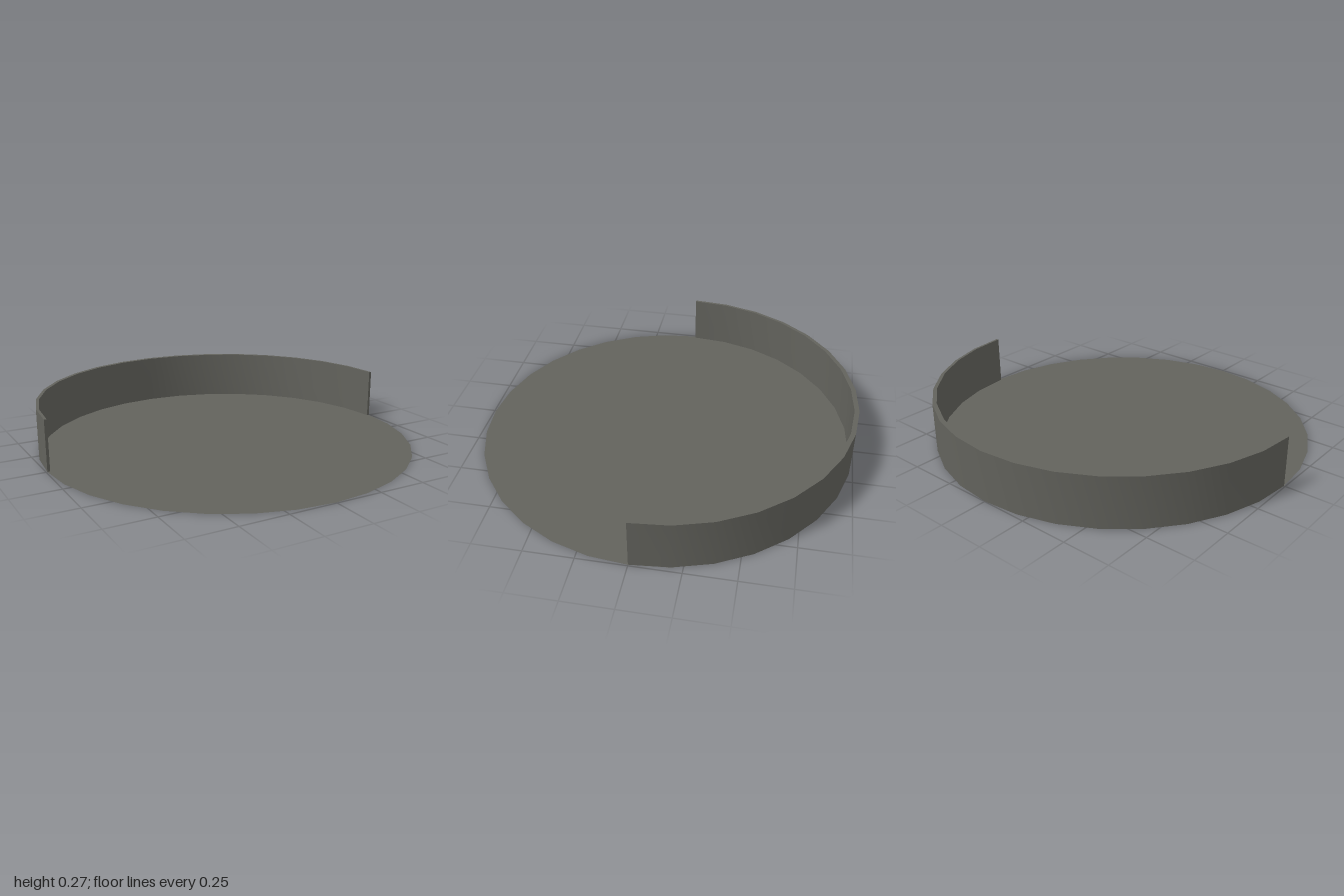
import * as THREE from 'three';
import { toCreasedNormals } from 'three/addons/utils/BufferGeometryUtils.js';

const HEIGHT = 0.265;
const SEGMENTS = 32;

// Half-ellipse of points from +x over the back to -x
function halfRing(rx, rz) {
  const points = [];
  for (let i = 0; i <= SEGMENTS / 2; i++) {
    const a = (i / SEGMENTS) * Math.PI * 2;
    points.push(new THREE.Vector2(Math.cos(a) * rx, Math.sin(a) * rz));
  }
  return points;
}

export function createModel() {
  const group = new THREE.Group();
  group.name = 'trayWithHalfRim';

  const darkGrey = new THREE.MeshStandardMaterial({ color: 0x62625c, side: THREE.DoubleSide });
  darkGrey.name = 'darkGrey';

  // Flat round floor
  const floorGeometry = new THREE.CircleGeometry(0.994, SEGMENTS);
  floorGeometry.rotateX(-Math.PI / 2);
  const floor = new THREE.Mesh(floorGeometry, darkGrey);
  floor.name = 'floor';
  group.add(floor);

  // Curved wall around the back half, thinner towards its ends
  const outline = new THREE.Shape([...halfRing(0.994, 1), ...halfRing(0.98, 0.975).reverse()]);
  const wallGeometry = new THREE.ExtrudeGeometry(outline, {
    depth: HEIGHT,
    bevelEnabled: false,
    steps: 1,
  });
  wallGeometry.rotateX(-Math.PI / 2);
  const wall = new THREE.Mesh(toCreasedNormals(wallGeometry, Math.PI / 6), darkGrey);
  wall.name = 'backWall';
  wall.position.y = 0.001;
  group.add(wall);

  return group;
}
